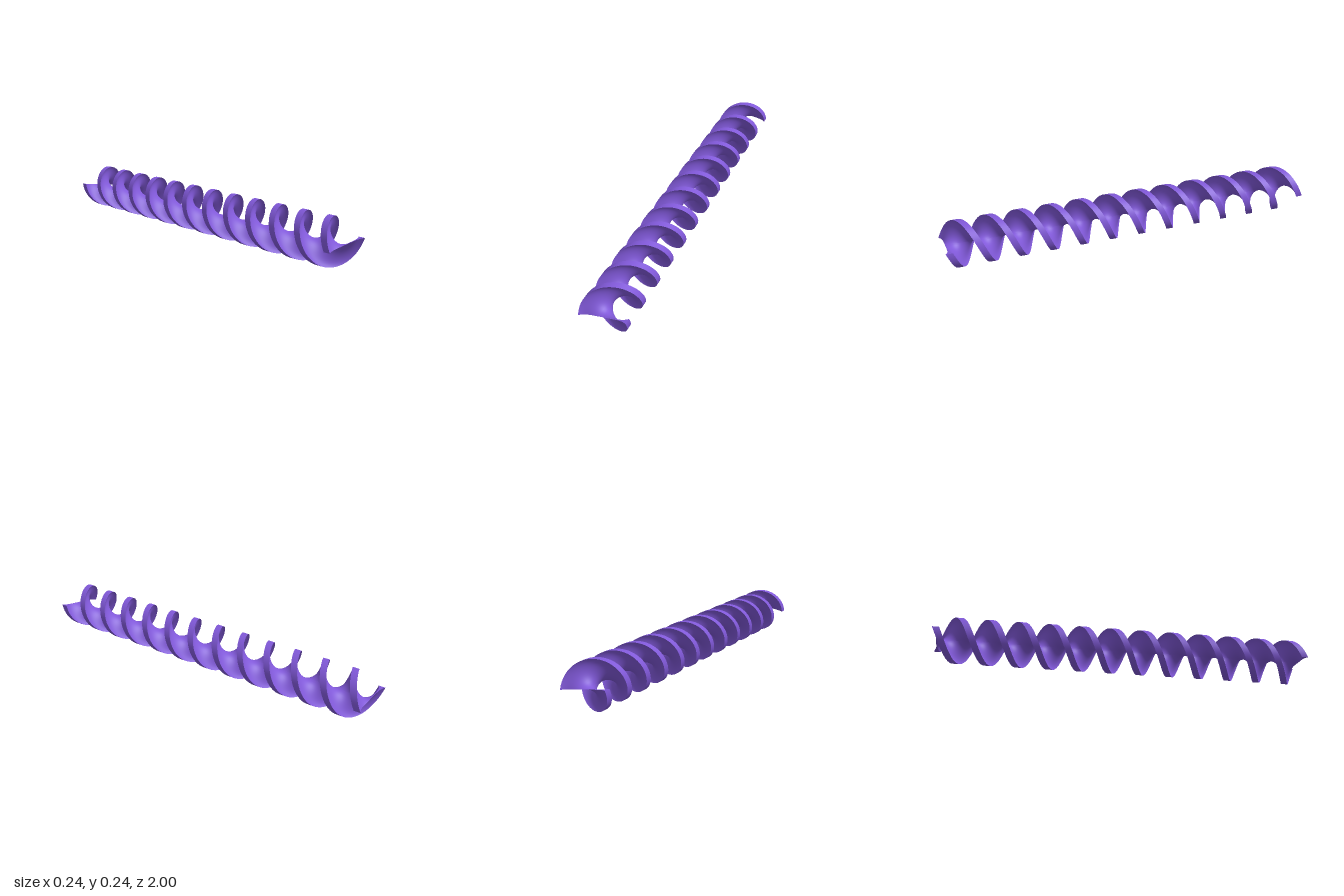
import * as THREE from 'three';
import { ParametricGeometry } from 'three/addons/geometries/ParametricGeometry.js';

const R = 0.121;          // outer radius
const HALF = 0.982;       // half length of the twisted web
const PITCH = 0.325;      // length of one full turn
const WEB = 0.002;        // half thickness of the web at the axis
const RIM = 0.018;        // half width of the flared rim
const STACKS = 432;

// half thickness of the blade, flaring smoothly towards the rim
const thickness = (r) => WEB + (RIM - WEB) * Math.pow(Math.abs(r) / R, 6);

// place a point of the radial cross-section at position s along the axis
function place(r, dz, s, target) {
  const a = (s * Math.PI * 2) / PITCH;
  target.set(r * Math.cos(a), r * Math.sin(a), s + dz);
}

export function createModel() {
  const group = new THREE.Group();
  group.name = 'twistedScrew';
  const purple = new THREE.MeshStandardMaterial({ color: 0x8058d8, side: THREE.DoubleSide });
  purple.name = 'purple';

  const add = (name, func, slices, stacks) => {
    const mesh = new THREE.Mesh(new ParametricGeometry(func, slices, stacks), purple);
    mesh.name = name;
    mesh.position.y = R;
    group.add(mesh);
  };
  const along = (v) => (2 * v - 1) * HALF;

  for (const side of [1, -1]) {
    const label = side > 0 ? 'front' : 'back';

    // broad helical face of the blade
    add(label + 'BladeFace', (u, v, p) => {
      const r = side * (2 * u - 1) * R;
      place(r, side * thickness(r), along(v), p);
    }, 24, STACKS);

    // outer band on one edge of the blade
    add(side > 0 ? 'firstRim' : 'secondRim', (u, v, p) => {
      place(side * R, side * (1 - 2 * u) * RIM, along(v), p);
    }, 2, STACKS);

    // cap closing one end of the blade
    add(label + 'EndCap', (u, v, p) => {
      const r = (2 * u - 1) * R;
      place(r, (2 * v - 1) * thickness(r), side * HALF, p);
    }, 24, 1);
  }
  return group;
}
